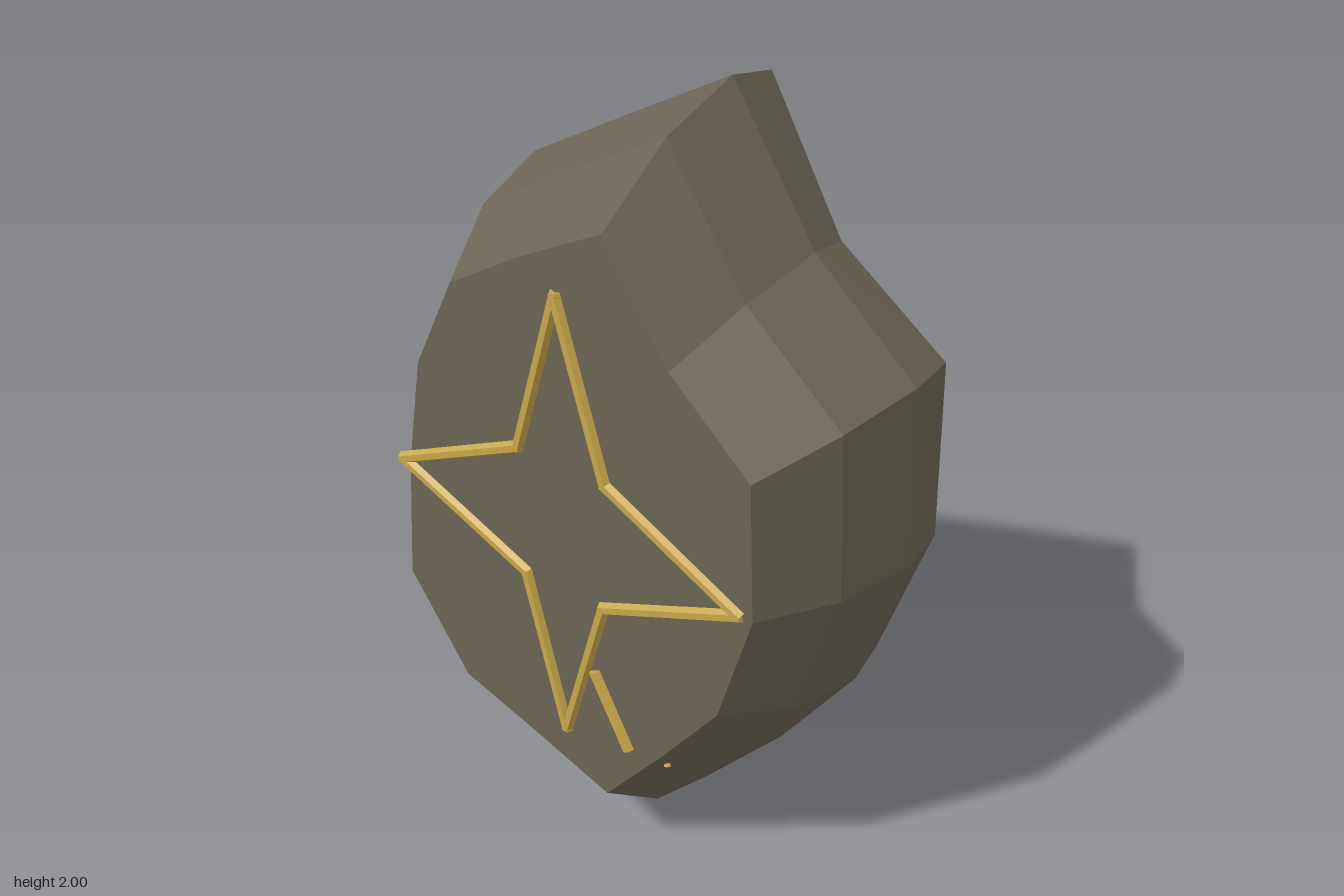
import * as THREE from 'three';

const stone = new THREE.MeshStandardMaterial({ color: 0x6b6455, flatShading: true });
stone.name = 'stone';
const gold = new THREE.MeshStandardMaterial({ color: 0xc9a84c, flatShading: true });
gold.name = 'gold';

// Widest outline and front face outline, clockwise from the top point
const OUTER = [[0.15, 2], [0.38, 1.66], [0.655, 1.425], [0.685, 0.97], [0.57, 0.58], [0.37, 0.28], [0.14, 0.005],
  [-0.16, 0.1], [-0.46, 0.19], [-0.69, 0.52], [-0.66, 0.97], [-0.58, 1.36], [-0.415, 1.685], [-0.14, 1.84]];
const FACE = [[0.115, 1.77], [0.29, 1.51], [0.505, 1.32], [0.525, 0.97], [0.44, 0.66], [0.28, 0.44], [0.11, 0.22],
  [-0.14, 0.3], [-0.36, 0.365], [-0.54, 0.62], [-0.51, 0.97], [-0.455, 1.27], [-0.33, 1.52], [-0.115, 1.65]];
// Uneven depth of the back edge
const BACK_Z = [-0.275, -0.245, -0.28, -0.265, -0.245, -0.26, -0.275, -0.28, -0.28, -0.265, -0.26, -0.285, -0.25, -0.265];

function createStone() {
  const rings = [
    FACE.map(([x, y]) => [x, y, 0.27]),
    FACE.map(([x, y], i) => [x + (OUTER[i][0] - x) * 0.68, y + (OUTER[i][1] - y) * 0.68, 0.088]),
    OUTER.map(([x, y]) => [x, y, -0.122]),
    OUTER.map(([x, y], i) => [x * 0.97, 1 + (y - 1) * 0.967, BACK_Z[i]]),
  ];
  const n = OUTER.length;
  const index = [];

  // Sides between neighbouring rings
  for (let r = 0; r < rings.length - 1; r++) {
    for (let i = 0; i < n; i++) {
      const j = (i + 1) % n;
      const a = r * n + i, b = r * n + j, c = b + n, d = a + n;
      index.push(a, b, c, a, c, d);
    }
  }

  // Front and back caps, each triangle turned outwards
  for (const [r, facing] of [[0, 1], [rings.length - 1, -1]]) {
    const pts = rings[r].map(([x, y]) => new THREE.Vector2(x, y));
    for (const [a, b, c] of THREE.ShapeUtils.triangulateShape(pts, [])) {
      const area = THREE.ShapeUtils.area([pts[a], pts[b], pts[c]]) * facing;
      index.push(...(area > 0 ? [a, b, c] : [a, c, b]).map((k) => k + r * n));
    }
  }

  const indexed = new THREE.BufferGeometry();
  indexed.setAttribute('position', new THREE.Float32BufferAttribute(rings.flat(2), 3));
  indexed.setIndex(index);
  const geometry = indexed.toNonIndexed();
  geometry.computeVertexNormals();
  const mesh = new THREE.Mesh(geometry, stone);
  mesh.name = 'stone';
  return mesh;
}

// Six-sided inlay bar between two points on the front face
function bar(name, [x1, y1], [x2, y2]) {
  const length = Math.hypot(x2 - x1, y2 - y1) + 0.012;
  const geometry = new THREE.CylinderGeometry(0.016, 0.016, length, 6, 1, false, Math.PI / 6);
  const mesh = new THREE.Mesh(geometry, gold);
  mesh.position.set((x1 + x2) / 2, (y1 + y2) / 2, 0.271);
  mesh.rotation.z = Math.atan2(y2 - y1, x2 - x1) - Math.PI / 2;
  mesh.name = name;
  return mesh;
}

export function createModel() {
  const model = new THREE.Group();
  model.name = 'runeStone';
  model.add(createStone());

  // Four-pointed star outline
  const star = new THREE.Group();
  star.name = 'star';
  const points = [[-0.015, 1.59], [0.117, 1.16], [0.49, 0.975], [0.107, 0.81],
    [-0.015, 0.375], [-0.13, 0.81], [-0.53, 0.975], [-0.142, 1.16]];
  points.forEach((p, i) => star.add(bar('starEdge', p, points[(i + 1) % points.length])));
  model.add(star);

  // Short stroke and the speck where the inlay resurfaces
  model.add(bar('stroke', [0.08, 0.6], [0.18, 0.415]));
  const speck = new THREE.Mesh(new THREE.OctahedronGeometry(0.012), gold);
  speck.position.set(0.265, 0.375, 0.225);
  speck.name = 'speck';
  model.add(speck);

  return model;
}
